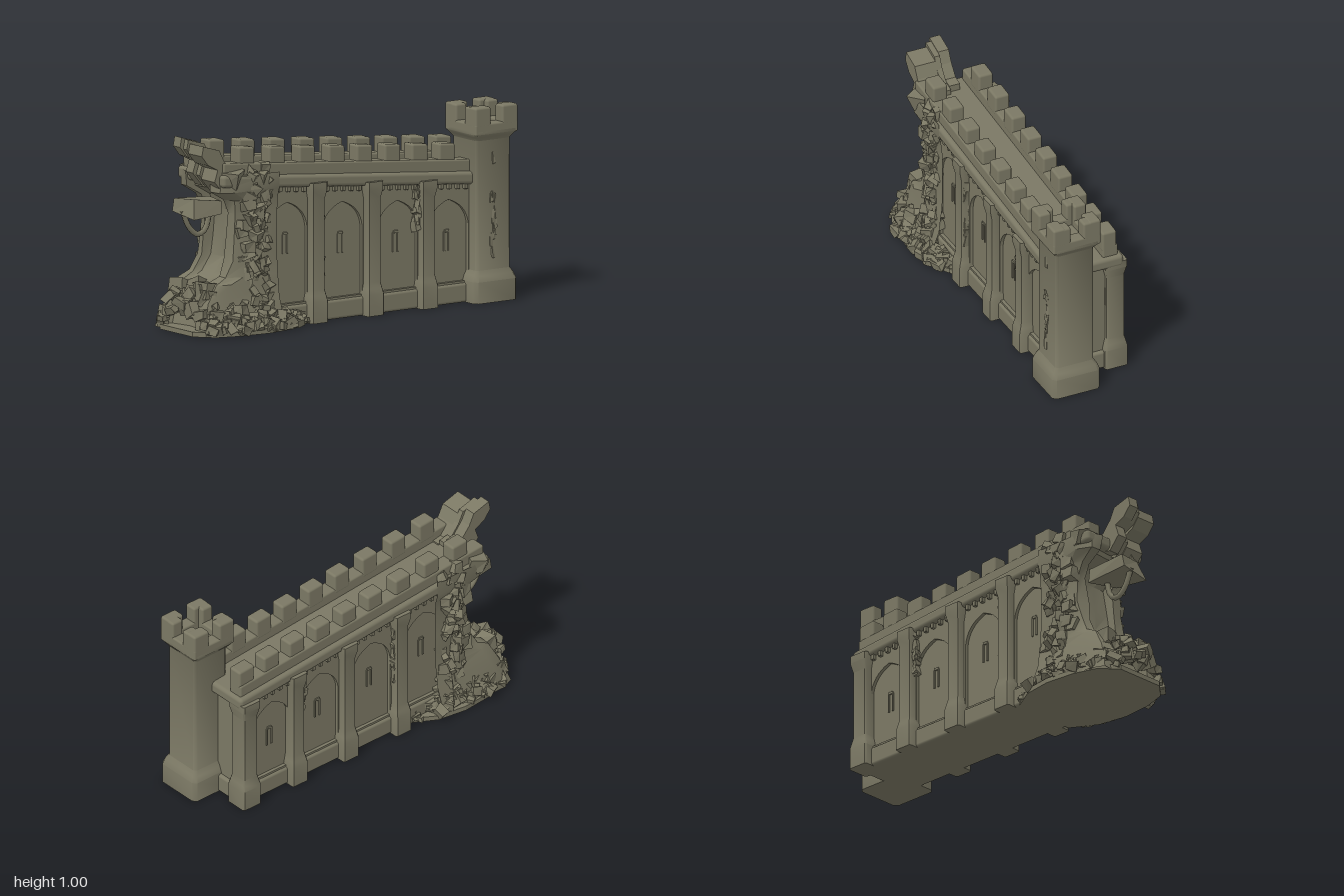
import * as THREE from 'three';
import { mergeGeometries, toCreasedNormals } from 'three/addons/utils/BufferGeometryUtils.js';
import { RoundedBoxGeometry } from 'three/addons/geometries/RoundedBoxGeometry.js';

const CX = -0.015;                     // centre line of the wall
const SLOPE = 0.093;                   // the wall top rises toward the broken end
const topY = (z) => 0.8 + SLOPE * z;   // parapet height between merlons

export function createModel() {
  const root = new THREE.Group();
  root.name = 'ruinedCastleWall';
  const stone = new THREE.MeshStandardMaterial({ color: 0x7b7864 });
  stone.name = 'weathered stone';

  let seed = 7;
  const rnd = (a = 0, b = 1) => {
    seed = (seed * 16807) % 2147483647;
    return a + (b - a) * (seed / 2147483647);
  };
  const add = (name, geo, parent = root) => {
    const mesh = new THREE.Mesh(geo, stone);
    mesh.name = name;
    parent.add(mesh);
    return mesh;
  };
  const group = (name) => {
    const g = new THREE.Group();
    g.name = name;
    root.add(g);
    return g;
  };

  // Soft-edged block between two corners; shear follows the slope of the wall top
  const block = (x0, x1, y0, y1, z0, z1, r = 0.008, shear = 'none') => {
    const g = new RoundedBoxGeometry(x1 - x0, y1 - y0, z1 - z0, 2, r);
    g.translate((x0 + x1) / 2, (y0 + y1) / 2, (z0 + z1) / 2);
    const p = g.attributes.position;
    for (let i = 0; i < p.count; i++) {
      const y = p.getY(i);
      if (shear === 'all' || (shear === 'top' && y > (y0 + y1) / 2)) p.setY(i, y + SLOPE * p.getZ(i));
    }
    return g;
  };

  // Chamfered square pillar from a profile of [half width, height]
  const pillar = (profile, x, z, sx = 1, sz = 1) => {
    const pts = profile.map(([r, y]) => new THREE.Vector2(r, y));
    const g = new THREE.LatheGeometry(pts, 8, Math.PI / 8);
    const p = g.attributes.position;
    const square = (v, r) => Math.sign(v) * r * (Math.abs(v) > r * 0.6 ? 1 : 0.86);
    for (let i = 0; i < p.count; i++) {
      const px = p.getX(i), pz = p.getZ(i), r = Math.hypot(px, pz);
      p.setXYZ(i, square(px, r) * sx + x, p.getY(i), square(pz, r) * sz + z);
    }
    return toCreasedNormals(g, 0.8);
  };

  // Irregular broken stone that never dips below the ground
  const rock = (x, y, z, sx, sy, sz, spin = 0.6) => {
    const g = new THREE.BoxGeometry(sx, sy, sz).toNonIndexed();
    const k = Array.from({ length: 8 }, () => [rnd(0.6, 1.15), rnd(0.6, 1.15), rnd(0.6, 1.15)]);
    const p = g.attributes.position;
    for (let i = 0; i < p.count; i++) {
      const a = p.getX(i), b = p.getY(i), c = p.getZ(i);
      const q = k[(a > 0 ? 1 : 0) + (b > 0 ? 2 : 0) + (c > 0 ? 4 : 0)];
      p.setXYZ(i, a * q[0], b * q[1], c * q[2]);
    }
    g.rotateX(rnd(-spin, spin)).rotateY(rnd(-spin, spin) * 2).rotateZ(rnd(-spin, spin));
    g.computeVertexNormals();
    g.translate(x, y, z);
    g.computeBoundingBox();
    const b = g.boundingBox;
    g.translate(0, Math.max(0, -b.min.y), Math.min(0, 1 - b.max.z));
    return g;
  };

  // Wall core, plinth, cornice and walkway
  const wall = group('wall');
  add('wallCore', block(CX - 0.15, CX + 0.15, 0, 0.73, -0.82, 0.6, 0.01, 'top'), wall);
  add('plinth', block(CX - 0.18, CX + 0.18, 0, 0.1, -0.84, 0.55, 0.015), wall);
  add('cornice', block(CX - 0.2, CX + 0.2, 0.675, 0.74, -0.86, 0.8, 0.02, 'all'), wall);

  // Side details: parapets, merlons, arched bays and buttresses
  const bays = [0.38, 0.035, -0.31, -0.63];
  for (const s of [1, -1]) {
    const side = group(s > 0 ? 'leftSide' : 'rightSide');
    const box = (a, b, ...rest) => block(CX + Math.min(s * a, s * b), CX + Math.max(s * a, s * b), ...rest);
    add('parapet', box(0.09, 0.175, 0.72, 0.8, -0.84, 0.78, 0.01, 'all'), side);
    const merlons = [0.63, 0.44, 0.25, 0.065, -0.11, -0.285, -0.455, -0.625];
    if (s < 0) merlons.push(-0.79);
    for (const z of merlons)
      add('merlon', box(0.088, 0.168, 0.77, 0.882, z - 0.05, z + 0.05, 0.012, 'all'), side);

    for (const z of bays) {
      // Panel with a pointed arch cut through it
      const h = topY(z) - 0.1, w = 0.125;
      const panel = new THREE.Shape();
      panel.moveTo(-0.16, 0.02).lineTo(0.16, 0.02).lineTo(0.16, h).lineTo(-0.16, h);
      const arch = new THREE.Path();
      const spring = h - 0.24;
      arch.moveTo(-w, 0.11).lineTo(-w, spring);
      arch.quadraticCurveTo(-w * 0.9, spring + 0.1, 0, spring + 0.135);
      arch.quadraticCurveTo(w * 0.9, spring + 0.1, w, spring).lineTo(w, 0.11);
      panel.holes.push(arch);
      const g = new THREE.ExtrudeGeometry(panel, { depth: 0.022, bevelEnabled: false, curveSegments: 8 });
      g.rotateY(s * Math.PI / 2).translate(CX + s * 0.146, 0, z);
      add('archedPanel', g, side);
      // Narrow window and its frame
      const wy = h - 0.315;
      for (const d of [-1, 1])
        add('windowFrame', box(0.145, 0.156, wy - 0.055, wy + 0.045, z + d * 0.014 - 0.005, z + d * 0.014 + 0.005, 0.002), side);
      add('windowHead', box(0.145, 0.157, wy + 0.04, wy + 0.055, z - 0.014, z + 0.014, 0.003), side);
      // Corbels beneath the cornice
      for (let i = -2; i <= 2; i++) {
        const cz = z + i * 0.05, cy = topY(cz) - 0.15;
        add('corbel', box(0.16, 0.187, cy, cy + 0.04, cz - 0.01, cz + 0.01, 0.004), side);
      }
    }

    const piers = [0.21, -0.14, -0.48];
    if (s < 0) piers.push(-0.8);
    for (const z of piers) {
      const t = topY(z) - 0.1;
      const profile = [[0, 0], [0.052, 0], [0.052, 0.11], [0.046, 0.14], [0.04, 0.17],
        [0.04, t - 0.09], [0.05, t - 0.04], [0.05, t], [0, t]];
      add('buttress', pillar(profile, CX + s * 0.16, z, 1.22, z < -0.7 ? 1.15 : 1), side);
    }
    // Chipped masonry in the worn buttresses
    const chips = [];
    for (let i = 0; i < 12; i++) {
      chips.push(rock(CX + s * 0.17, rnd(0.42, 0.65), rnd(-0.45, -0.42), 0.05, 0.05, 0.03, 0.3));
      chips.push(rock(CX + s * 0.18, rnd(0.25, 0.62), 0.18, 0.035, 0.06, 0.025, 0.2));
    }
    add('chippedMasonry', mergeGeometries(chips), side);
  }
  add('endWindow', block(-0.145, -0.125, 0.36, 0.47, -0.825, -0.815, 0.003), wall);

  // Tower at the intact end
  const tower = group('tower'), TX = 0.115, TZ = -0.865;
  add('towerShaft', pillar([[0, 0], [0.133, 0], [0.133, 0.11], [0.122, 0.14], [0.107, 0.165],
    [0.107, 0.83], [0.122, 0.85], [0.133, 0.865], [0.133, 0.88], [0, 0.88]], TX, TZ), tower);
  for (const a of [-1, 1]) {
    const span = (c, lo, hi) => [c + Math.min(a * lo, a * hi), c + Math.max(a * lo, a * hi)];
    add('towerParapet', block(...span(TX, 0.065, 0.133), 0.86, 0.92, TZ - 0.133, TZ + 0.133, 0.01), tower);
    add('towerParapet', block(TX - 0.133, TX + 0.133, 0.86, 0.92, ...span(TZ, 0.065, 0.133), 0.01), tower);
    for (const b of [-1, 1]) {
      const spanB = (c, lo, hi) => [c + Math.min(b * lo, b * hi), c + Math.max(b * lo, b * hi)];
      add('towerMerlon', block(...span(TX, 0.065, 0.133), 0.9, 1.005, ...spanB(TZ, 0.035, 0.133), 0.012), tower);
      add('towerMerlon', block(...span(TX, 0.035, 0.133), 0.9, 1.003, ...spanB(TZ, 0.065, 0.133), 0.012), tower);
    }
  }
  const cracks = [];
  for (let i = 0; i < 14; i++)
    cracks.push(rock(TX + 0.1, rnd(0.2, 0.78), TZ + rnd(-0.01, 0.02), 0.025, 0.07, 0.018, 0.15));
  add('towerCracks', mergeGeometries(cracks), tower);

  // Broken end: stacked cross-sections of a torn, concave face
  const ruin = group('brokenEnd');
  const levels = [[0, 0.92, 0.24], [0.08, 0.9, 0.23], [0.16, 0.87, 0.2], [0.25, 0.82, 0.19], [0.28, 0.75, 0.185],
    [0.36, 0.7, 0.18], [0.46, 0.69, 0.18], [0.6, 0.68, 0.18], [0.67, 0.71, 0.185], [0.72, 0.79, 0.2], [0.8, 0.8, 0.2]];
  const across = [[-1, -9], [-1, -0.07], [-0.85, 0], [-0.55, 0.01], [-0.5, -0.03], [0, -0.04],
    [0.45, -0.03], [0.5, 0.01], [0.85, 0], [1, -0.07], [1, -9]];
  const pos = [], idx = [], n = across.length;
  levels.forEach(([y, z, w], j) => across.forEach(([u, dz], i) => {
    const back = dz < -1;
    pos.push(CX + u * w + (back ? 0 : rnd(-0.008, 0.008)), y, back ? 0.45 : z + dz + rnd(-0.012, 0.012));
    if (i < n - 1 && j < levels.length - 1) {
      const a = j * n + i;
      idx.push(a, a + 1, a + n + 1, a, a + n + 1, a + n);
    }
  }));
  const torn = new THREE.BufferGeometry();
  torn.setAttribute('position', new THREE.Float32BufferAttribute(pos, 3));
  torn.setIndex(idx);
  add('tornFace', toCreasedNormals(torn, 0.6), ruin);

  // Leaning remains of the end parapet, extruded from a side profile
  const lean = [[0.94, 0.95], [0.93, 1.0], [0.83, 0.97], [0.8, 0.91], [0.75, 0.85], [0.7, 0.84],
    [0.7, 0.76], [0.8, 0.74], [0.86, 0.81], [0.84, 0.87], [0.9, 0.9]];
  for (const [x0, x1, drop] of [[-0.055, 0.005, 0], [0.005, 0.035, 0.01], [0.035, 0.15, 0.03]]) {
    const mid = x1 - x0 < 0.04;
    const shape = new THREE.Shape(lean.map(([z, y]) => new THREE.Vector2(-z + (mid ? 0.02 : drop), y - drop)));
    const g = new THREE.ExtrudeGeometry(shape, { depth: x1 - x0, bevelEnabled: false });
    add('leaningParapet', g.rotateY(Math.PI / 2).translate(x0, 0, 0), ruin);
  }
  // Hanging block with a curled remnant beneath it
  add('hangingBlock', rock(-0.015, 0.635, 0.81, 0.2, 0.1, 0.24, 0.08), ruin);
  const hook = new THREE.CatmullRomCurve3([[0.91, 0.62], [0.87, 0.53], [0.82, 0.49], [0.77, 0.51], [0.74, 0.6]]
    .map(([z, y]) => new THREE.Vector3(-0.015, y, z)));
  add('curledRemnant', new THREE.TubeGeometry(hook, 12, 0.015, 5), ruin);

  // Loose masonry climbing the torn corners
  const loose = [];
  for (const s of [1, -1]) {
    for (let i = 0; i < 50; i++)
      loose.push(rock(CX + s * rnd(0.16, 0.2), 0.04 + i * 0.016, rnd(0.5, 0.62), rnd(0.04, 0.07), rnd(0.04, 0.07), rnd(0.03, 0.06)));
    for (let i = 0; i < 14; i++)
      loose.push(rock(CX + s * rnd(0.15, 0.18), 0.25 + i * 0.036, rnd(0.58, 0.66), 0.07, rnd(0.05, 0.08), 0.07, 0.3));
    loose.push(rock(CX + s * 0.17, 0.79, 0.72, 0.09, 0.1, 0.1, 0.3));
  }
  for (let i = 0; i < 10; i++)
    loose.push(rock(rnd(-0.15, 0.13), rnd(0.12, 0.24), rnd(0.8, 0.85), 0.1, 0.09, 0.09, 0.3));
  add('looseMasonry', mergeGeometries(loose), ruin);

  // Rubble apron around the foot
  const edge = [[0.28, 0.18], [0.42, 0.26], [0.58, 0.285], [0.75, 0.27], [0.88, 0.23], [0.96, 0.14]];
  const outline = [...edge.map(([z, x]) => [x, z]), ...edge.map(([z, x]) => [-x, z]).reverse()];
  const apron = new THREE.ExtrudeGeometry(new THREE.Shape(outline.map(([x, z]) => new THREE.Vector2(x, -z))),
    { depth: 0.025, bevelEnabled: false });
  add('rubbleBed', apron.rotateX(-Math.PI / 2), ruin);
  const rubble = [];
  for (let i = 0; i < 220; i++) {
    const t = rnd(0, edge.length - 1.001), k = Math.floor(t), f = t - k;
    const z = edge[k][0] * (1 - f) + edge[k + 1][0] * f, half = edge[k][1] * (1 - f) + edge[k + 1][1] * f;
    const u = rnd(z > 0.86 ? 0 : 0.6, 1), rise = Math.max(0, 1 - u) * Math.min(1, (z - 0.25) * 3) * 0.42;
    const d = rnd(0.035, 0.075);
    rubble.push(rock((i % 2 ? 1 : -1) * u * half, Math.min(rise, 0.17) * rnd(0.5, 1) + 0.02, z, d, d * rnd(0.6, 1), d * rnd(0.7, 1.2)));
  }
  add('rubble', mergeGeometries(rubble), ruin);
  return root;
}
